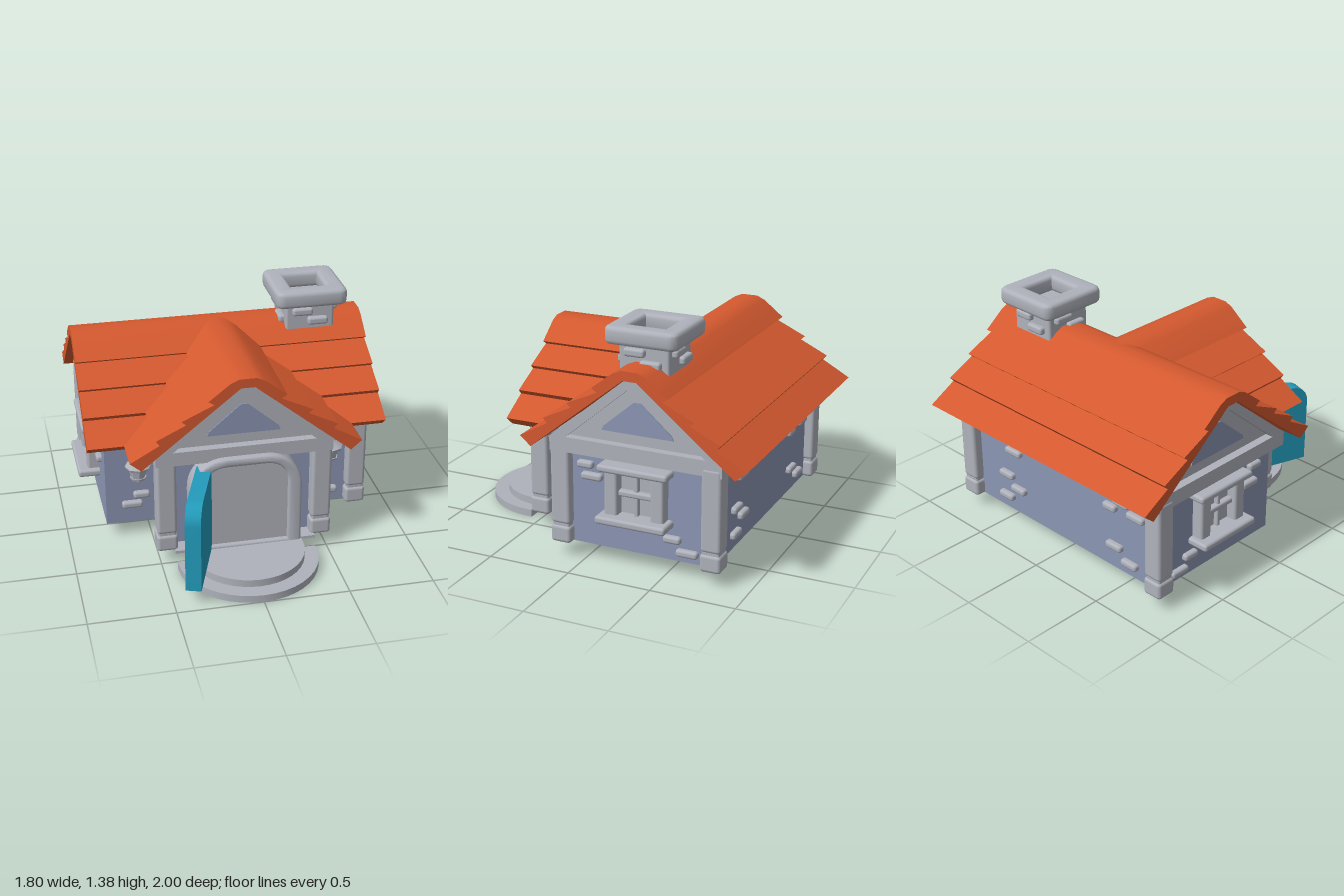
import * as THREE from 'three';
import { toCreasedNormals } from 'three/addons/utils/BufferGeometryUtils.js';
import { RoundedBoxGeometry } from 'three/addons/geometries/RoundedBoxGeometry.js';

const material = (name, color) => {
  const m = new THREE.MeshStandardMaterial({ color });
  m.name = name;
  return m;
};

export function createModel() {
  const house = new THREE.Group();
  house.name = 'house';
  const tile = material('roof orange', 0xd4592f);
  const stone = material('stone grey', 0xafb2bb);
  const plaster = material('wall blue', 0x8c96b4);
  const teal = material('door teal', 0x239bbb);
  const wood = material('floor brown', 0x6b5034);
  const RIDGE_Z = -0.325;

  // helpers
  const add = (name, geo, mat, parent = house) => {
    const m = new THREE.Mesh(geo, mat);
    m.name = name;
    parent.add(m);
    return m;
  };
  const box = (name, mat, x0, x1, y0, y1, z0, z1, parent) => {
    const g = new THREE.BoxGeometry(x1 - x0, y1 - y0, z1 - z0);
    return add(name, g.translate((x0 + x1) / 2, (y0 + y1) / 2, (z0 + z1) / 2), mat, parent);
  };
  const soft = (name, mat, x0, x1, y0, y1, z0, z1, parent, r = 0.016) => {
    const g = new RoundedBoxGeometry(x1 - x0, y1 - y0, z1 - z0, 2, r);
    return add(name, g.translate((x0 + x1) / 2, (y0 + y1) / 2, (z0 + z1) / 2), mat, parent);
  };
  const polygon = (pts) => new THREE.Shape(pts.map(([x, y]) => new THREE.Vector2(x, y)));
  const extrude = (shape, depth, options = {}) => toCreasedNormals(
    new THREE.ExtrudeGeometry(shape, { depth, bevelEnabled: false, curveSegments: 10, ...options }), 0.6);
  const group = (name, x, y, z, turn = 0) => {
    const g = new THREE.Group();
    g.name = name;
    g.position.set(x, y, z);
    g.rotation.y = turn;
    house.add(g);
    return g;
  };

  // roof slopes: a stepped half profile, with ends that follow the valley mitre
  const profile = polygon([[0, 1.185], [0.05, 1.185], [0.1, 1.163], [0.225, 1.065], [0.192, 1.043],
    [0.378, 0.957], [0.352, 0.934], [0.526, 0.85], [0.503, 0.822], [0.675, 0.725], [0.61, 0.67],
    [0.04, 1.13], [0, 1.13]]);
  const slope = (name, start, end, turn, z) => {
    const g = new THREE.ExtrudeGeometry(profile, { depth: 1, bevelEnabled: false });
    const p = g.attributes.position;
    for (let i = 0; i < p.count; i++) {
      const d = p.getX(i);
      p.setZ(i, p.getZ(i) < 0.5 ? start(d) : end(d));
    }
    add(name, toCreasedNormals(g.rotateY(turn).translate(0, 0, z), 0.6), tile);
  };
  slope('backRoof', () => -0.885, () => 0.885, Math.PI / 2, RIDGE_Z);
  slope('frontRoofLeft', () => -0.885, (d) => -d, -Math.PI / 2, RIDGE_Z);
  slope('frontRoofRight', (d) => d, () => 0.885, -Math.PI / 2, RIDGE_Z);
  slope('wingRoofLeft', (d) => d + RIDGE_Z, () => 0.56, 0, 0);
  slope('wingRoofRight', () => -0.56, (d) => -RIDGE_Z - d, Math.PI, 0);

  // walls, beams and floor
  box('mainWalls', plaster, -0.77, 0.77, 0.09, 0.66, -0.78, 0.14);
  box('wingWalls', plaster, -0.46, 0.46, 0.09, 0.66, 0.1, 0.43);
  box('mainBeam', stone, -0.83, 0.83, 0.645, 0.72, -0.84, 0.195);
  box('wingBeam', stone, -0.52, 0.52, 0.65, 0.72, 0.15, 0.505);
  box('mainSlab', stone, -0.72, 0.72, 0.078, 0.095, -0.73, 0.12);
  box('wingSlab', stone, -0.42, 0.42, 0.078, 0.095, 0.12, 0.53);
  box('floorBoards', wood, -0.7, 0.7, 0.074, 0.08, -0.36, 0.11);

  // gables: recessed panel, raised trim and a blue triangle
  const gable = (x, z, turn) => {
    const g = group('gable', x, 0, z, turn);
    const trim = polygon([[-0.53, 0.72], [0.53, 0.72], [0.04, 1.127], [-0.04, 1.127]]);
    trim.holes.push(polygon([[-0.42, 0.735], [-0.04, 1.06], [0.04, 1.06], [0.42, 0.735]]));
    add('gableTrim', extrude(trim, 0.06).translate(0, 0, -0.06), stone, g);
    const panel = polygon([[-0.5, 0.71], [0.5, 0.71], [0.03, 1.11], [-0.03, 1.11]]);
    add('gablePanel', extrude(panel, 0.03).translate(0, 0, -0.08), stone, g);
    const inset = polygon([[-0.215, 0.795], [0.215, 0.795], [0.205, 0.82], [0.02, 0.98], [-0.02, 0.98], [-0.205, 0.82]]);
    add('gableInset', extrude(inset, 0.008).translate(0, 0, -0.052), plaster, g);
  };
  gable(0, 0.505, 0);
  gable(0.83, RIDGE_Z, Math.PI / 2);
  gable(-0.83, RIDGE_Z, -Math.PI / 2);

  // columns
  for (const [x, z] of [[0.775, -0.78], [-0.775, -0.78], [0.765, 0.14], [0.46, 0.445], [-0.46, 0.445]]) {
    const c = group('column', x, 0, z);
    soft('columnBase', stone, -0.062, 0.062, 0.085, 0.19, -0.062, 0.062, c, 0.02);
    soft('columnNeck', stone, -0.052, 0.052, 0.17, 0.22, -0.052, 0.052, c, 0.012);
    soft('columnShaft', stone, -0.059, 0.059, 0.2, 0.69, -0.059, 0.059, c, 0.02);
  }

  // doorway arch with panel
  const arched = (w, top, r) => {
    const s = new THREE.Shape();
    s.moveTo(-w, 0.09).lineTo(w, 0.09).lineTo(w, top - r);
    s.bezierCurveTo(w, top - r * 0.4, w - r * 0.4, top, w - r, top).lineTo(r - w, top);
    s.bezierCurveTo(r * 0.4 - w, top, -w, top - r * 0.4, -w, top - r);
    return s.closePath();
  };
  const arch = arched(0.315, 0.66, 0.2);
  arch.holes.push(arched(0.265, 0.64, 0.15));
  add('doorArch', extrude(arch, 0.13, { bevelEnabled: true, bevelSize: 0.016, bevelThickness: 0.016, bevelSegments: 3 })
    .translate(0, 0, 0.4), stone);
  box('doorwayPanel', stone, -0.25, 0.25, 0.09, 0.62, 0.4, 0.52);

  // open door
  const leaf = new THREE.Shape();
  leaf.moveTo(0, 0.09).lineTo(0.48, 0.09).lineTo(0.48, 0.5);
  leaf.bezierCurveTo(0.48, 0.57, 0.43, 0.615, 0.36, 0.615).lineTo(0, 0.615);
  const door = add('door', extrude(leaf, 0.09), teal);
  door.position.set(-0.195, 0, 0.5);
  door.rotation.y = -1.9;

  // half round steps
  const step = (name, r, z, y, h, back) => {
    const s = new THREE.Shape();
    s.moveTo(-r, back).lineTo(-r, 0).absarc(0, 0, r, Math.PI, 0, true).lineTo(r, back);
    const g = new THREE.ExtrudeGeometry(s, { depth: h, bevelEnabled: false, curveSegments: 10 });
    add(name, toCreasedNormals(g.rotateX(-Math.PI / 2).rotateY(Math.PI).translate(0, y, z), 0.6), stone);
  };
  step('lowerStep', 0.415, 0.585, 0, 0.045, -0.02);
  step('upperStep', 0.335, 0.575, 0.045, 0.045, -0.06);

  // bricks: [u, y, width] on a wall facing local +z
  const bricks = (x, z, turn, list, h = 0.043) => {
    const g = group('bricks', x, 0, z, turn);
    for (const [u, y, w] of list) {
      soft('brick', stone, u - w / 2, u + w / 2, y - h / 2, y + h / 2, -0.03, 0.032, g);
    }
  };
  bricks(0, 0.14, 0, [[-0.555, 0.28, 0.1], [-0.612, 0.218, 0.125], [0.555, 0.235, 0.09], [0.61, 0.173, 0.1]]);
  bricks(0.77, RIDGE_Z, Math.PI / 2, [[-0.32, 0.575, 0.1], [-0.28, 0.508, 0.13], [0.21, 0.217, 0.105], [0.3, 0.148, 0.13]]);
  bricks(-0.77, RIDGE_Z, -Math.PI / 2, [[0.32, 0.575, 0.1], [0.28, 0.47, 0.13], [-0.21, 0.217, 0.105], [-0.3, 0.148, 0.13]]);
  bricks(0, -0.78, Math.PI, [[-0.47, 0.58, 0.1], [-0.4, 0.51, 0.13], [-0.47, 0.33, 0.12], [-0.37, 0.26, 0.12],
    [-0.48, 0.18, 0.12], [0.41, 0.49, 0.1], [0.5, 0.55, 0.12], [0.61, 0.5, 0.13], [0.44, 0.24, 0.12], [0.56, 0.17, 0.12]]);

  // side windows
  for (const side of [1, -1]) {
    const w = group('window', side * 0.77, 0, RIDGE_Z, side * Math.PI / 2);
    soft('lintel', stone, -0.212, 0.212, 0.578, 0.62, -0.02, 0.1, w);
    soft('sill', stone, -0.212, 0.212, 0.28, 0.325, -0.02, 0.13, w);
    for (const s of [-1, 1]) soft('windowPost', stone, s * 0.14 - 0.04, s * 0.14 + 0.04, 0.31, 0.59, -0.02, 0.07, w);
    box('glass', stone, -0.11, 0.11, 0.32, 0.58, -0.01, 0.008, w);
    soft('mullion', stone, -0.012, 0.012, 0.32, 0.58, 0, 0.035, w, 0.008);
    soft('crossbar', stone, -0.11, 0.11, 0.432, 0.468, 0, 0.045, w, 0.012);
    box('upperRail', stone, -0.11, 0.11, 0.555, 0.58, 0, 0.035, w);
  }

  // lanterns
  for (const x of [-0.585, 0.58]) {
    const l = group('lantern', x, 0, 0.24);
    const ring = (name, top, bottom, y0, y1) => add(name,
      toCreasedNormals(new THREE.CylinderGeometry(top, bottom, y1 - y0, 8).translate(0, (y0 + y1) / 2, 0), 0.5), stone, l);
    ring('lanternFinial', 0.012, 0.018, 0.555, 0.575);
    ring('lanternHood', 0.02, 0.078, 0.53, 0.56);
    ring('lanternRim', 0.078, 0.072, 0.515, 0.53);
    ring('lanternBody', 0.056, 0.042, 0.455, 0.515);
    ring('lanternFoot', 0.05, 0.046, 0.444, 0.458);
    ring('lanternTip', 0.016, 0.012, 0.42, 0.446);
    box('lanternArm', stone, -0.012, 0.012, 0.47, 0.5, -0.11, -0.03, l);
  }

  // chimney
  const square = (r, c) => {
    const s = new THREE.Shape();
    s.moveTo(-r + c, -r).lineTo(r - c, -r).quadraticCurveTo(r, -r, r, -r + c);
    s.lineTo(r, r - c).quadraticCurveTo(r, r, r - c, r).lineTo(c - r, r).quadraticCurveTo(-r, r, -r, r - c);
    return s.lineTo(-r, c - r).quadraticCurveTo(-r, -r, c - r, -r);
  };
  const cap = square(0.193, 0.03);
  cap.holes.push(polygon([[-0.13, -0.13], [-0.13, 0.13], [0.13, 0.13], [0.13, -0.13]]));
  const capGeo = extrude(cap, 0.05, { bevelEnabled: true, bevelSize: 0.025, bevelThickness: 0.025, bevelSegments: 3, curveSegments: 4 });
  add('chimneyCap', capGeo.rotateX(-Math.PI / 2).translate(0.55, 1.305, RIDGE_Z), stone);
  soft('chimneyShaft', stone, 0.4, 0.7, 1.0, 1.285, RIDGE_Z - 0.15, RIDGE_Z + 0.15);
  for (let i = 0; i < 4; i++) {
    const a = i * Math.PI / 2;
    bricks(0.55 + 0.15 * Math.sin(a), RIDGE_Z + 0.15 * Math.cos(a), a, [[-0.05, 1.238, 0.125], [0.045, 1.175, 0.125]], 0.048);
  }
  return house;
}
